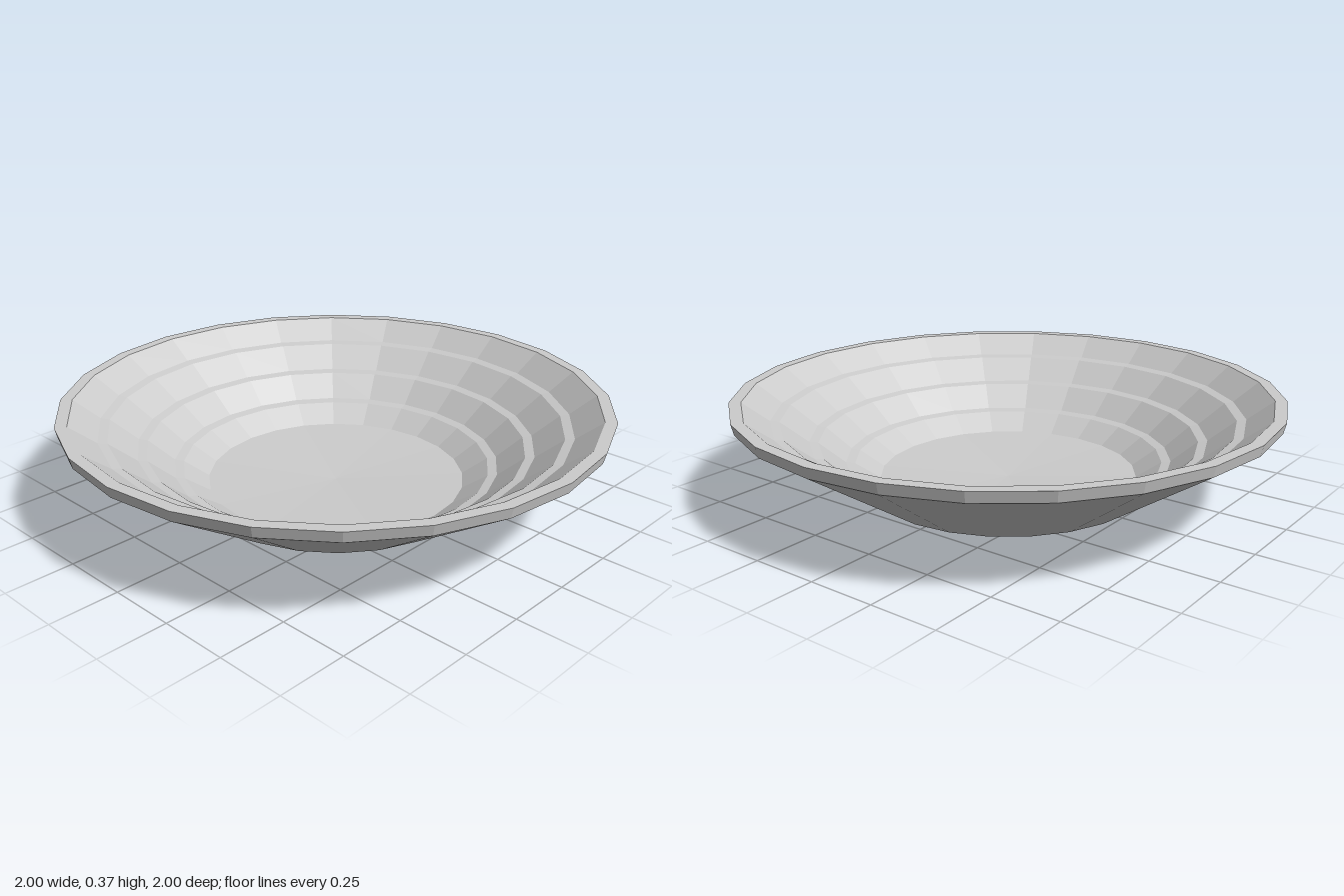
import * as THREE from 'three';

const SIDES = 24;

// Revolves [radius, height] pairs, listed from the bottom outside to the top inside
function revolve(name, profile) {
  const points = profile.map(([r, y]) => new THREE.Vector2(r, y));
  const material = new THREE.MeshStandardMaterial({ color: 0xcccccc, flatShading: true });
  const mesh = new THREE.Mesh(new THREE.LatheGeometry(points, SIDES), material);
  mesh.name = name;
  return mesh;
}

export function createModel() {
  const group = new THREE.Group();
  group.name = 'bowl';

  // Shallow pointed base and sloping outer wall
  group.add(revolve('outerWall', [[0, 0], [0.525, 0.027], [0.99, 0.333]]));

  // Lip band and flat top edge
  group.add(revolve('rim', [[0.99, 0.333], [1, 0.373], [0.957, 0.373]]));

  // Inner wall stepping down over three narrow ledges
  const inner = [[0.957, 0.373]];
  for (const [r, y] of [[0.861, 0.3], [0.728, 0.215], [0.6, 0.13]]) {
    inner.push([r, y], [r - 0.033, y - 0.006]);
  }
  inner.push([0.476, 0.064]);
  group.add(revolve('steppedInnerWall', inner));

  // Slightly dished floor
  group.add(revolve('floor', [[0.476, 0.064], [0, 0.045]]));

  return group;
}
